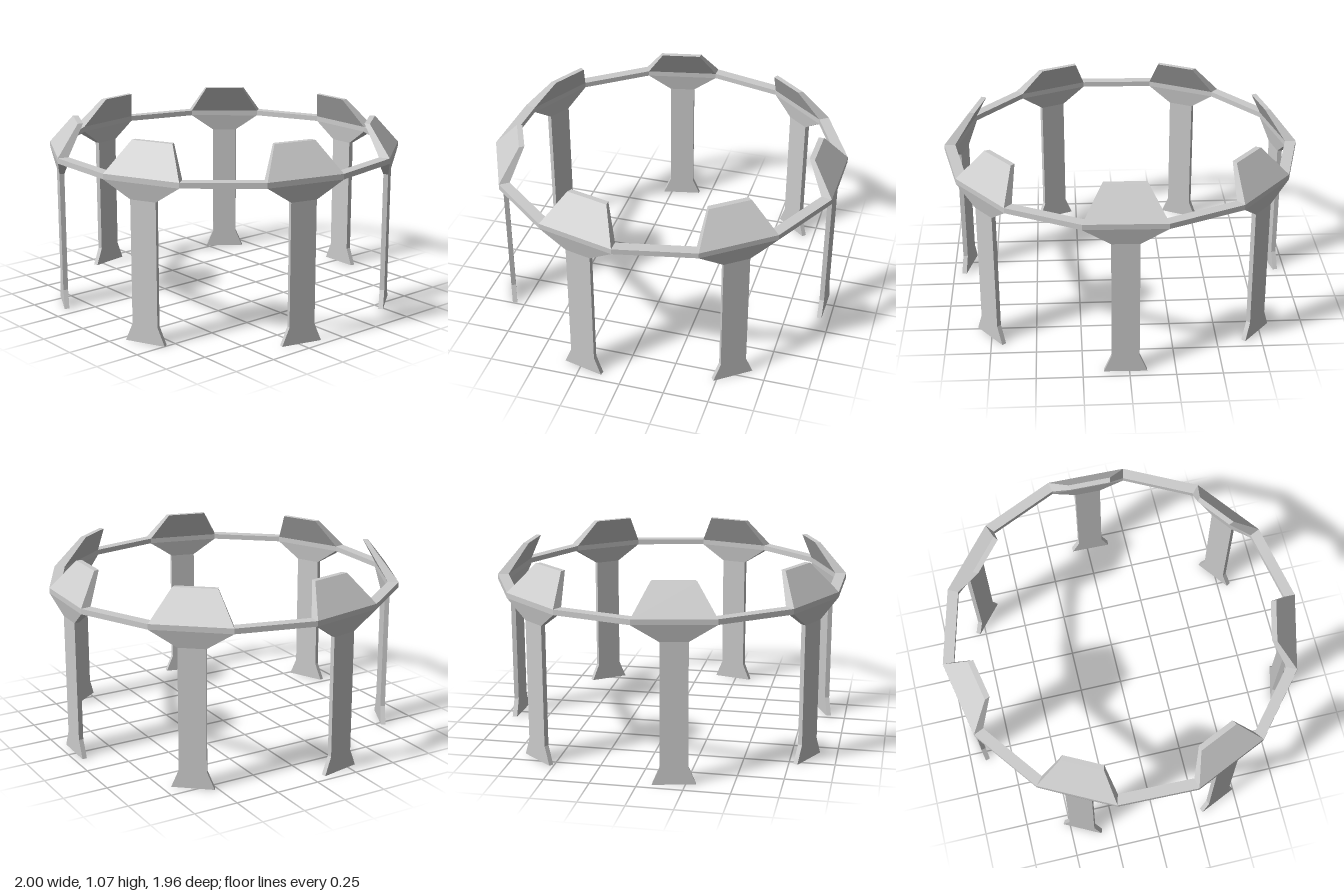
import * as THREE from 'three';

const SIDES = 7;
const TILT = 0.0225; // slight turn of the whole ring about y

// Lofts four-cornered level sections, each [y, outer z, inner z, outer half width, inner half width]
function loft(rows) {
  const rings = rows.map(([y, zo, zi, wo, wi]) => [
    [-wo, y, zo], [wo, y, zo], [wi, y, zi], [-wi, y, zi],
  ]);
  const pos = [];
  const quad = (a, b, c, d) => pos.push(...a, ...b, ...c, ...a, ...c, ...d);
  for (let i = 0; i < rings.length - 1; i++) {
    const lo = rings[i], hi = rings[i + 1];
    for (let k = 0; k < 4; k++) {
      const n = (k + 1) % 4;
      quad(lo[k], lo[n], hi[n], hi[k]);
    }
  }
  const bottom = rings[0], top = rings[rings.length - 1];
  quad(bottom[3], bottom[2], bottom[1], bottom[0]);
  quad(top[0], top[1], top[2], top[3]);
  const geo = new THREE.BufferGeometry();
  geo.setAttribute('position', new THREE.Float32BufferAttribute(pos, 3));
  geo.computeVertexNormals();
  return geo;
}

export function createModel() {
  const group = new THREE.Group();
  const material = new THREE.MeshStandardMaterial({ color: 0xcccccc, flatShading: true });

  // Ring section: fourteen equal mitred sides
  const outer = 0.975, inner = 0.915;
  const miter = Math.tan(Math.PI / (2 * SIDES));
  const ringLow = [0.875, outer, inner, outer * miter, inner * miter];
  const ringHigh = [0.905, outer, inner, outer * miter, inner * miter];

  // Leg with flared foot, widening to the ring, then a panel leaning inward
  const pillarGeo = loft([
    [0, 0.955, 0.928, 0.117, 0.115],
    [0.1, 0.955, 0.928, 0.075, 0.073],
    [0.78, 0.955, 0.928, 0.075, 0.073],
    ringLow,
    ringHigh,
    [1.07, 0.85, 0.82, 0.12, 0.113],
  ]);
  // Plain beam bridging two pillars
  const beamGeo = loft([ringLow, ringHigh]);

  for (let i = 0; i < SIDES; i++) {
    const angle = Math.PI - TILT + (i * 2 * Math.PI) / SIDES;
    const pillar = new THREE.Mesh(pillarGeo, material);
    pillar.name = `pillar${i + 1}`;
    pillar.rotation.y = angle;
    const beam = new THREE.Mesh(beamGeo, material);
    beam.name = `ringBeam${i + 1}`;
    beam.rotation.y = angle + Math.PI / SIDES;
    group.add(pillar, beam);
  }
  return group;
}
